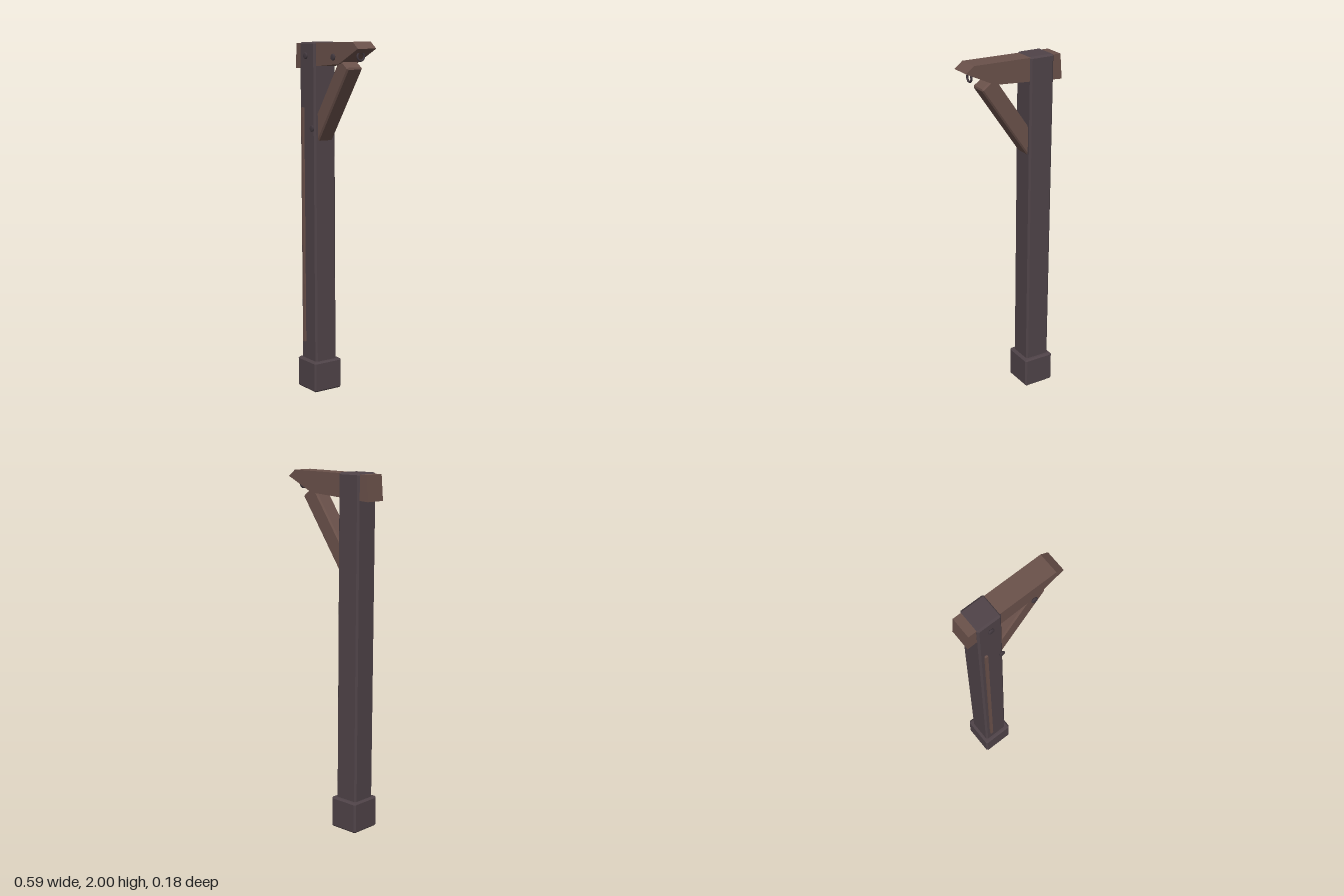
import * as THREE from 'three';
import { ConvexGeometry } from 'three/addons/geometries/ConvexGeometry.js';

// Box with every edge cut at 45 degrees
function chamferBox(w, h, d, c) {
  const a = w / 2, b = h / 2, e = d / 2, pts = [];
  for (const x of [-1, 1]) for (const y of [-1, 1]) for (const z of [-1, 1]) {
    pts.push(
      new THREE.Vector3(x * a, y * (b - c), z * (e - c)),
      new THREE.Vector3(x * (a - c), y * b, z * (e - c)),
      new THREE.Vector3(x * (a - c), y * (b - c), z * e));
  }
  return new ConvexGeometry(pts);
}

export function createModel() {
  const group = new THREE.Group();
  const mat = (name, color) => {
    const m = new THREE.MeshStandardMaterial({ color });
    m.name = name;
    return m;
  };
  const darkWood = mat('dark wood', 0x4f4348);
  const brownWood = mat('brown wood', 0x6a514a);
  const iron = mat('iron', 0x443a40);

  const add = (name, geometry, material, x, y, z, rz = 0) => {
    const mesh = new THREE.Mesh(geometry, material);
    mesh.name = name;
    mesh.position.set(x, y, z);
    mesh.rotation.z = rz;
    group.add(mesh);
    return mesh;
  };

  // Slightly leaning post and its foot block
  add('post', chamferBox(0.146, 1.998, 0.142, 0.01), darkWood, -0.159, 1.0, 0, 0.007);
  add('foot', chamferBox(0.181, 0.177, 0.184, 0.009), darkWood, -0.152, 0.0965, -0.001);

  // Crossbeam with a pointed free end
  const profile = new THREE.Shape([
    [-0.295, 1.852], [0.12, 1.882], [0.292, 1.964], [0.245, 2.0], [-0.284, 1.991],
  ].map(([x, y]) => new THREE.Vector2(x, y)));
  add('crossbeam', new THREE.ExtrudeGeometry(profile, { depth: 0.12, bevelEnabled: false }),
    brownWood, 0, 0, -0.061);

  // Diagonal brace
  add('brace', chamferBox(0.5, 0.096, 0.1, 0.008), brownWood, 0.011, 1.682, 0, 0.963);

  // Raised grain strip on the front of the post
  add('grainStrip', new THREE.BoxGeometry(0.017, 1.35, 0.014), brownWood, -0.196, 0.96, 0.075, 0.007);

  // Peg heads, rounded at the rim
  const pegProfile = [[0, -0.006], [0.014, -0.006], [0.018, -0.003], [0.018, 0.003], [0.014, 0.006], [0, 0.006]]
    .map(([x, y]) => new THREE.Vector2(x, y));
  const pegGeometry = new THREE.LatheGeometry(pegProfile, 12);
  for (const [x, y] of [[-0.166, 1.923], [0.097, 1.919], [-0.104, 1.525]]) {
    add('peg', pegGeometry, iron, x, y, 0.08).rotation.x = Math.PI / 2;
  }

  // Hanging ring under the beam tip
  add('hangingRing', new THREE.TorusGeometry(0.022, 0.006, 6, 14), iron, 0.238, 1.923, 0)
    .rotation.y = Math.PI / 2;

  return group;
}
